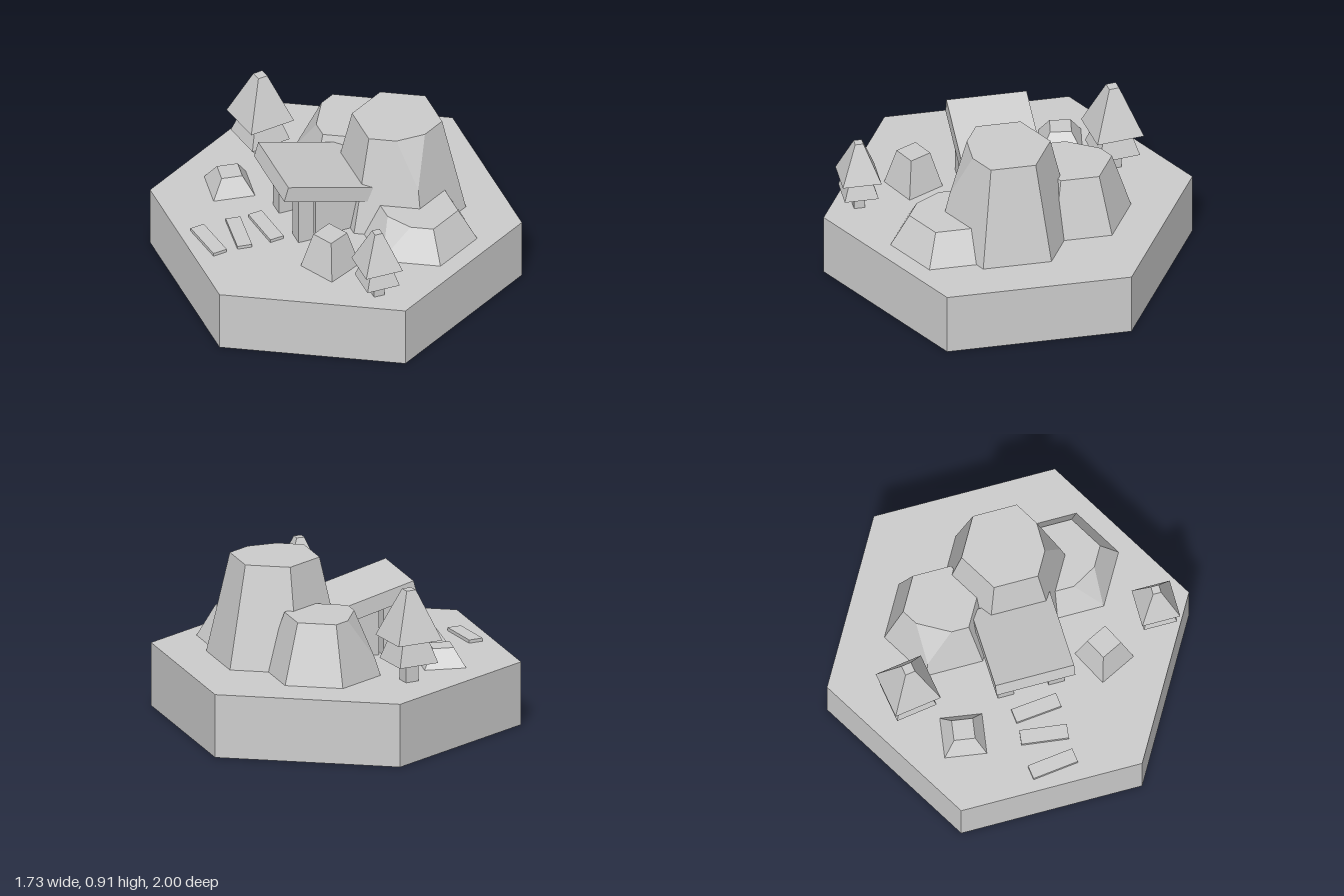
import * as THREE from 'three';
import { ConvexGeometry } from 'three/addons/geometries/ConvexGeometry.js';

const GROUND = 0.35;

export function createModel() {
  const root = new THREE.Group();
  const material = new THREE.MeshStandardMaterial({ color: 0xcccccc, flatShading: true });

  const add = (parent, name, geometry, x, y, z, rotY = 0) => {
    const mesh = new THREE.Mesh(geometry, material);
    mesh.name = name;
    mesh.position.set(x, y, z);
    mesh.rotation.y = rotY;
    parent.add(mesh);
    return mesh;
  };

  // Frustum with its base at y
  const frustum = (parent, name, rTop, rBase, height, sides, x, y, z, rotY = 0) =>
    add(parent, name, new THREE.CylinderGeometry(rTop, rBase, height, sides), x, y + height / 2, z, rotY);

  // Hexagonal ground tile
  frustum(root, 'groundTile', 1, 1, GROUND, 6, 0, 0, 0);

  // Hexagonal peak with one top corner sliced off down to a fraction of its edge
  const peak = (name, x, z, rBase, rTop, height, cutCorner, cutWidth, cutBottom) => {
    const corner = (k, r, y) =>
      new THREE.Vector3(r * Math.sin((k * Math.PI) / 3), y, r * Math.cos((k * Math.PI) / 3));
    const points = [];
    for (let k = 0; k < 6; k++) {
      const base = corner(k, rBase, 0);
      const top = corner(k, rTop, height);
      points.push(base);
      if (k !== cutCorner) {
        points.push(top);
        continue;
      }
      points.push(base.clone().lerp(top, cutBottom));
      for (const side of [k - 1, k + 1]) points.push(top.clone().lerp(corner(side, rTop, height), cutWidth));
    }
    add(root, name, new ConvexGeometry(points), x, GROUND, z);
  };
  peak('mainPeak', 0.32, 0.075, 0.37, 0.2425, 0.555, 0, 0.39, 0.51);
  peak('backPeak', 0.19, -0.318, 0.312, 0.208, 0.325, 4, 0.54, 0.3);
  peak('frontPeak', 0.32, 0.385, 0.315, 0.213, 0.175, 5, 0.42, 0.06);

  // Boulders
  frustum(root, 'tallBoulder', 0.09, 0.157, 0.207, 4, -0.22, GROUND, 0.47, Math.atan2(0.05, -0.15));
  frustum(root, 'lowBoulder', 0.08, 0.16, 0.1, 4, -0.46, GROUND, -0.375, Math.atan2(0.13, -0.095));

  // Two-tier square trees
  const tree = (name, x, z, scale, rotY) => {
    const group = new THREE.Group();
    group.name = name;
    const quarter = Math.PI / 4;
    const diag = Math.SQRT2;
    frustum(group, 'trunk', 0.03 * diag, 0.03 * diag, 0.1, 4, 0, 0, 0, quarter);
    frustum(group, 'lowerBranches', 0.06 * diag, 0.092 * diag, 0.105, 4, 0, 0.088, 0, quarter);
    frustum(group, 'upperBranches', 0.022 * diag, 0.105 * diag, 0.215, 4, 0, 0.19, 0, quarter);
    group.position.set(x, GROUND, z);
    group.rotation.y = rotY;
    group.scale.setScalar(scale);
    root.add(group);
  };
  tree('frontTree', -0.08, 0.795, 1, 0);
  tree('backTree', -0.193, -0.605, 1.25, 0.145);

  // Mine entrance: slanted roof, two posts and a block set into the peak
  const entrance = new THREE.Group();
  entrance.name = 'entrance';
  root.add(entrance);
  const roof = add(entrance, 'roof', new THREE.BoxGeometry(0.51, 0.09, 0.435), -0.142, 0.647, 0.043);
  roof.rotation.z = -0.27;
  for (const side of [-1, 1]) {
    add(entrance, 'post', new THREE.BoxGeometry(0.088, 0.32, 0.088), -0.261, 0.51, 0.043 + side * 0.14);
  }
  add(entrance, 'entranceBlock', new THREE.BoxGeometry(0.34, 0.26, 0.33), -0.03, 0.48, 0.043);

  // Path planks
  for (const [x, rotY] of [[-0.745, 0.12], [-0.572, -0.13], [-0.417, 0.1]]) {
    add(root, 'pathPlank', new THREE.BoxGeometry(0.08, 0.03, 0.255), x, 0.353, 0.04, rotY);
  }
  return root;
}
